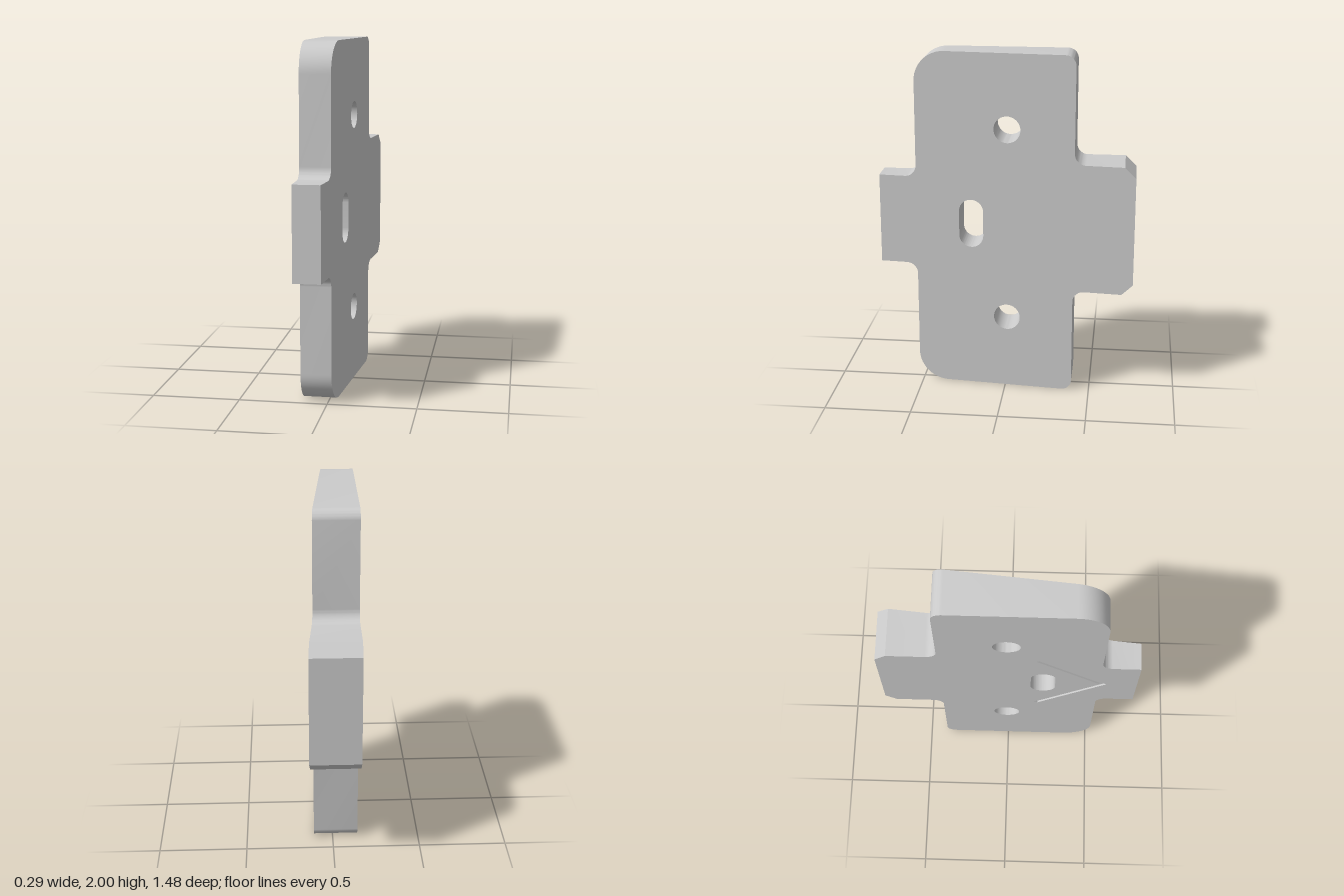
import * as THREE from 'three';
import { toCreasedNormals } from 'three/addons/utils/BufferGeometryUtils.js';

const FLAT_X = -0.145;          // flat side of the wedge
const GROOVE = 0.01;            // depth of the engraved arrow
const slopeX = z => 0.075 - 0.0885 * z; // tapered side of the wedge

// Outline points [z, y, radius]; right-angle corners with a radius become arcs.
function outline(corners) {
  const pts = corners.map(([z, y]) => new THREE.Vector2(-z, y));
  const n = pts.length, out = [], steps = 12;
  corners.forEach(([, , r], i) => {
    const p = pts[i];
    if (!r) return out.push(p);
    const a = pts[(i + n - 1) % n].clone().sub(p).normalize();
    const b = pts[(i + 1) % n].clone().sub(p).normalize();
    for (let k = 0; k <= steps; k++) {
      const t = (k / steps) * Math.PI / 2;
      out.push(p.clone()
        .addScaledVector(a, r * (1 - Math.sin(t)))
        .addScaledVector(b, r * (1 - Math.cos(t))));
    }
  });
  return out;
}

function roundHole(z, y, r) {
  return new THREE.Path().absarc(-z, y, r, 0, Math.PI * 2, true);
}

function slotHole(z, y0, y1, r) {
  const p = new THREE.Path();
  p.absarc(-z, y1 - r, r, 0, Math.PI, false);
  p.absarc(-z, y0 + r, r, Math.PI, Math.PI * 2, false);
  p.closePath();
  return p;
}

// Extrude a side-view shape along +x from the flat face.
function extrudeX(shape, depth) {
  return new THREE.ExtrudeGeometry(shape, { depth, bevelEnabled: false, curveSegments: 24 })
    .rotateY(Math.PI / 2).translate(FLAT_X, 0, 0);
}

// Keep only the triangles that pass a test on their three x values; optionally turn them over.
function pick(geo, test, flip = false) {
  const p = geo.attributes.position, out = [];
  for (let i = 0; i < p.count; i += 3) {
    if (!test([p.getX(i), p.getX(i + 1), p.getX(i + 2)])) continue;
    for (const k of flip ? [0, 2, 1] : [0, 1, 2]) {
      out.push(p.getX(i + k), p.getY(i + k), p.getZ(i + k));
    }
  }
  const g = new THREE.BufferGeometry();
  g.setAttribute('position', new THREE.Float32BufferAttribute(out, 3));
  g.computeVertexNormals();
  return toCreasedNormals(g, 0.5);
}

export function createModel() {
  const group = new THREE.Group();
  group.name = 'wedgePlate';
  const material = new THREE.MeshStandardMaterial({ color: 0xcccccc });
  const add = (name, geo) => {
    const mesh = new THREE.Mesh(geo, material);
    mesh.name = name;
    group.add(mesh);
  };

  // Plate with a plain front tab and a chamfered back tab
  const border = outline([
    [0.524, 0, 0.175], [-0.396, 0, 0.06],
    [-0.396, 0.625, 0.065], [-0.678, 0.625], [-0.742, 0.687],
    [-0.742, 1.32], [-0.678, 1.382], [-0.396, 1.382, 0.065],
    [-0.396, 2, 0.06], [0.524, 2, 0.175],
    [0.524, 1.267, 0.065], [0.742, 1.267],
    [0.742, 0.738], [0.524, 0.738, 0.065],
  ]);
  const holes = () => [
    roundHole(-0.01, 1.567, 0.077),
    roundHole(-0.01, 0.436, 0.077),
    slotHole(0.2, 0.859, 1.145, 0.071),
  ];

  // Thin arrow pointing to the front
  const arrow = outline([
    [0.565, 1.0], [0.175, 1.37], [0.155, 1.35], [0.525, 1.0],
    [0.155, 0.65], [0.175, 0.63],
  ]);

  // Wedge body, open on the flat side
  const bodyShape = new THREE.Shape(border);
  bodyShape.holes.push(...holes());
  const body = extrudeX(bodyShape, 0.2);
  const pos = body.attributes.position;
  for (let i = 0; i < pos.count; i++) {
    if (pos.getX(i) > FLAT_X + 0.1) pos.setX(i, slopeX(pos.getZ(i)));
  }
  const onFlat = xs => xs.every(x => x < FLAT_X + 1e-4);
  add('wedgeBody', pick(body, xs => !onFlat(xs)));

  // Flat face with the arrow cut out
  const faceShape = new THREE.Shape(border);
  faceShape.holes.push(...holes(), new THREE.Path(arrow));
  add('flatFace', pick(extrudeX(faceShape, GROOVE), onFlat));

  // Engraved groove: walls and floor facing inward
  add('arrowGroove', pick(extrudeX(new THREE.Shape(arrow), GROOVE), xs => !onFlat(xs), true));

  return group;
}
